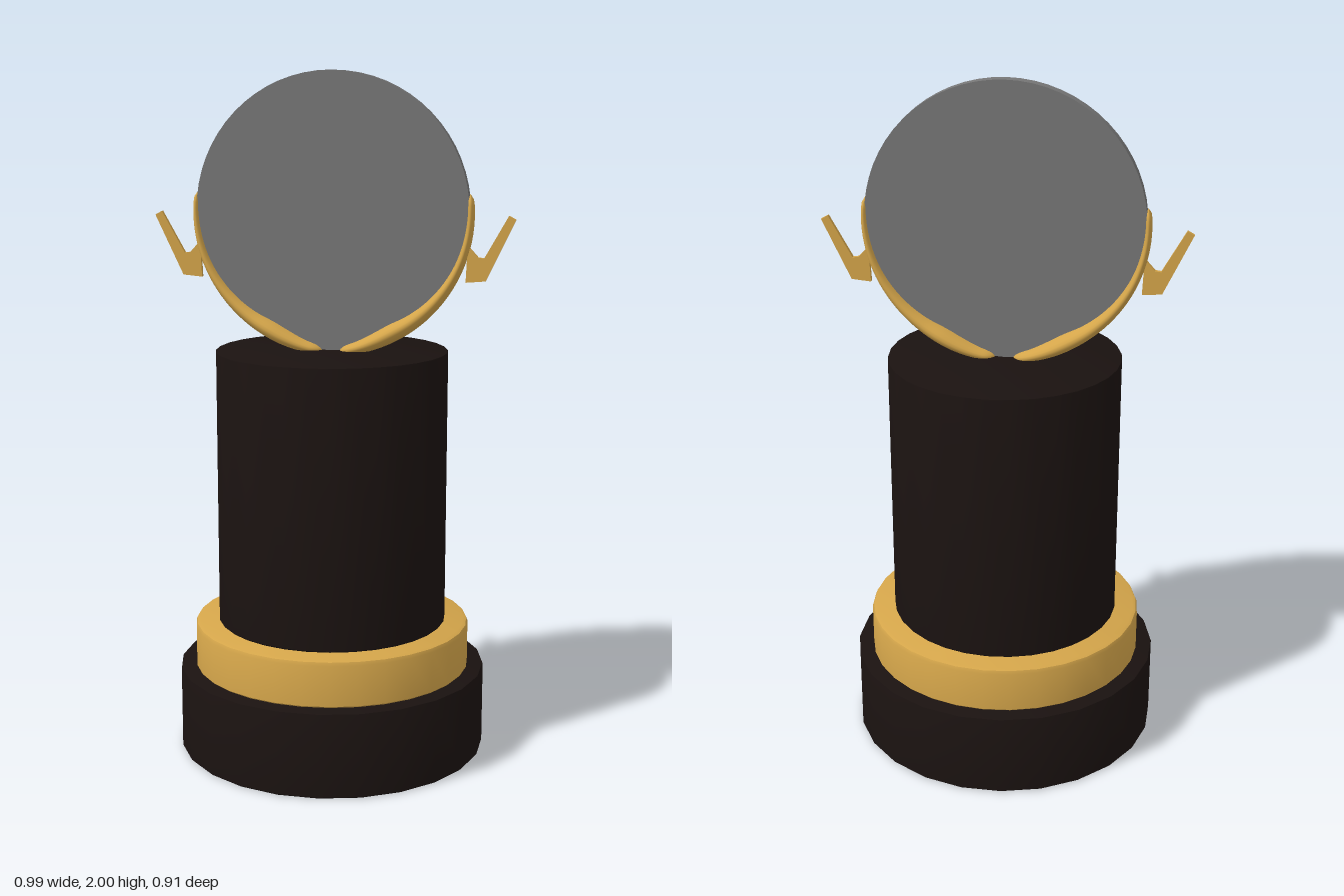
import * as THREE from 'three';
import { toCreasedNormals } from 'three/addons/utils/BufferGeometryUtils.js';

const black = new THREE.MeshStandardMaterial({ color: 0x1a1210 });
const gold = new THREE.MeshStandardMaterial({ color: 0xd4a54a });
const grey = new THREE.MeshStandardMaterial({ color: 0x777777 });

function add(parent, name, geometry, material) {
  const mesh = new THREE.Mesh(geometry, material);
  mesh.name = name;
  parent.add(mesh);
  return mesh;
}

// Turned solid with small bevels on its edges
function turned(radius, y0, y1, bevel, sides) {
  const profile = [
    [0, y0], [radius - 0.004, y0], [radius, y0 + 0.004],
    [radius, y1 - bevel], [radius - bevel * 0.3, y1 - bevel * 0.3], [radius - bevel, y1], [0, y1],
  ].map(([x, y]) => new THREE.Vector2(x, y));
  return toCreasedNormals(new THREE.LatheGeometry(profile, sides), 0.6);
}

// Curved palm wrapped round the disc rim: elliptical sections swept along an arc
function palmGeometry() {
  // angle in degrees, inner radius, half width across the rim
  const guide = new THREE.CatmullRomCurve3([
    [-87, 0.388, 0.034], [-80, 0.380, 0.045], [-70, 0.367, 0.055], [-62, 0.362, 0.056],
    [-52, 0.368, 0.048], [-40, 0.376, 0.042], [-22, 0.386, 0.036], [-6, 0.391, 0.030], [8, 0.395, 0.024],
  ].map((p) => new THREE.Vector3(p[0] / 60, p[1], p[2])));
  const steps = 48, sides = 20, positions = [], index = [];
  for (let i = 0; i <= steps; i++) {
    const t = i / steps;
    const g = guide.getPoint(t);
    const angle = THREE.MathUtils.degToRad(g.x * 60);
    // Rounded ends
    const round = (d, len) => Math.sqrt(1 - (1 - Math.min(d / len, 1)) ** 2);
    const end = round(t, 0.1) * round(1 - t, 0.04);
    const outer = 0.418 - 0.006 * t;
    const mid = (g.y + outer) / 2, half = (outer - g.y) / 2 * end;
    for (let j = 0; j < sides; j++) {
      const a = (j / sides) * Math.PI * 2;
      const r = mid + half * Math.cos(a);
      positions.push(r * Math.cos(angle), r * Math.sin(angle), g.z * end * Math.sin(a));
      if (i < steps) {
        const p = i * sides + j, q = i * sides + (j + 1) % sides;
        index.push(p, p + sides, q + sides, p, q + sides, q);
      }
    }
  }
  const geometry = new THREE.BufferGeometry();
  geometry.setAttribute('position', new THREE.Float32BufferAttribute(positions, 3));
  geometry.setIndex(index);
  geometry.computeVertexNormals();
  return geometry;
}

// Thin bent prong standing out from the palm
function prongGeometry() {
  const outline = new THREE.Shape([
    [0.39, -0.195], [0.447, -0.19], [0.53, -0.015], [0.51, -0.004], [0.442, -0.125], [0.425, -0.123], [0.395, -0.09],
  ].map(([x, y]) => new THREE.Vector2(x, y)));
  const depth = 0.013;
  return new THREE.ExtrudeGeometry(outline, { depth, bevelEnabled: false }).translate(0, 0, -depth / 2);
}

export function createModel() {
  const model = new THREE.Group();
  model.name = 'trophy';

  // Stepped stand
  add(model, 'base', turned(0.457, 0, 0.25, 0.004, 24), black);
  add(model, 'collar', turned(0.41, 0.25, 0.387, 0.014, 32), gold);
  add(model, 'pedestal', turned(0.34, 0.387, 1.2, 0.004, 32), black);

  // Upright disc and its two holders, turned about the vertical
  const top = new THREE.Group();
  top.name = 'award';
  top.position.y = 1.6;
  top.rotation.y = -0.388;
  model.add(top);

  const disc = new THREE.CylinderGeometry(0.4, 0.4, 0.036, 64).rotateX(Math.PI / 2);
  add(top, 'disc', disc, grey);

  const palm = palmGeometry(), prong = prongGeometry();
  for (const side of ['left', 'right']) {
    const holder = new THREE.Group();
    holder.name = side + 'Holder';
    holder.rotation.y = side === 'left' ? 0 : Math.PI;
    add(holder, side + 'Palm', palm, gold);
    add(holder, side + 'Prong', prong, gold);
    top.add(holder);
  }
  return model;
}
